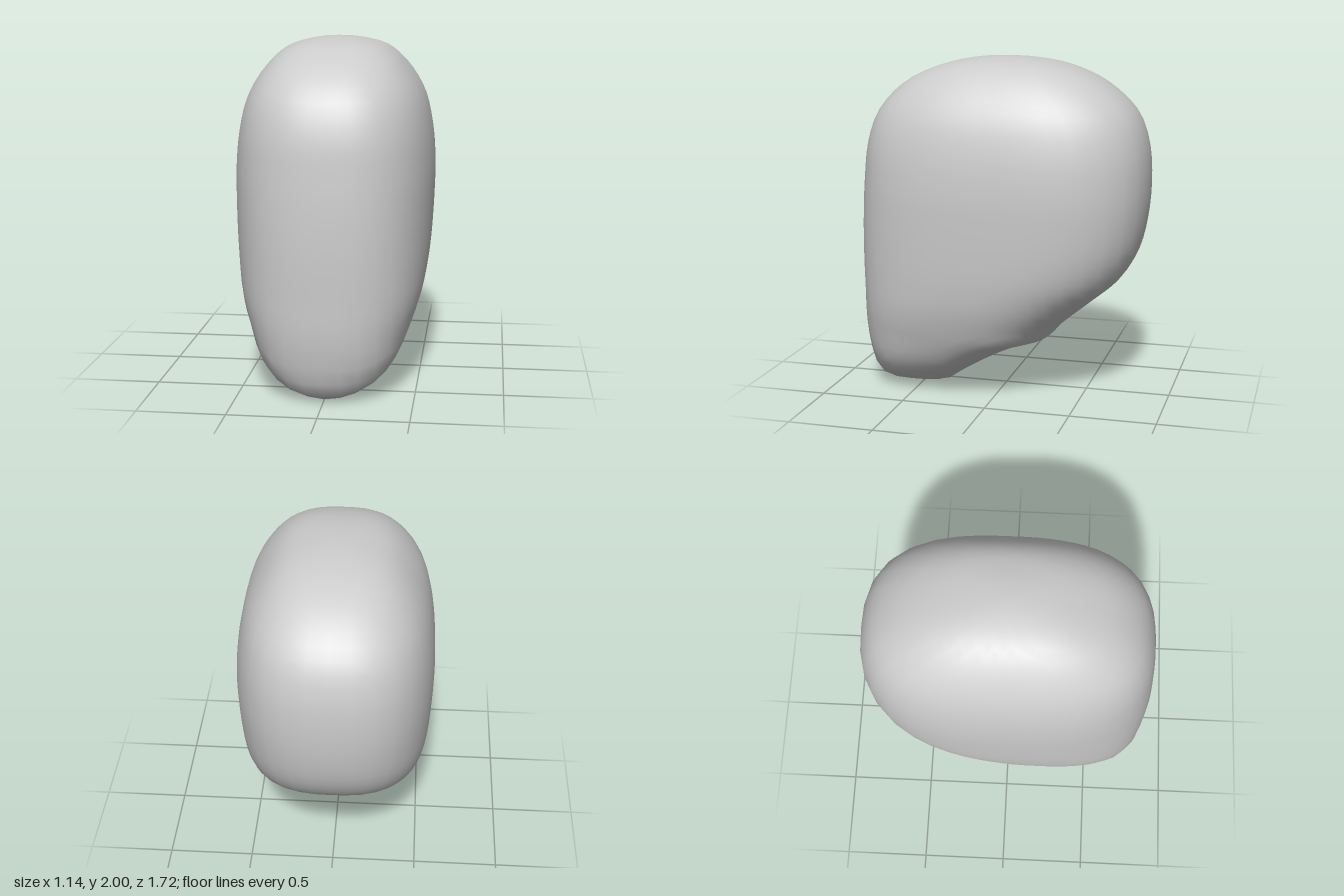
import * as THREE from 'three';

// Smooth lookup of a value by height through a few [y, value] points
function profile(points) {
  const curve = new THREE.CatmullRomCurve3(points.map(([y, v]) => new THREE.Vector3(y, v, 0)));
  const pts = curve.getPoints(160);
  return (y) => {
    let i = 1;
    while (i < pts.length - 1 && pts[i].x < y) i++;
    const a = pts[i - 1], b = pts[i];
    const t = THREE.MathUtils.clamp((y - a.x) / Math.max(b.x - a.x, 1e-6), 0, 1);
    return a.y + (b.y - a.y) * t;
  };
}

// Face line, back line and half width of the head at each height
const faceZ = profile([[0, 0.52], [0.025, 0.75], [0.3, 0.84], [0.6, 0.855], [0.95, 0.857], [1.28, 0.84],
  [1.5, 0.815], [1.68, 0.75], [1.84, 0.6], [1.94, 0.39], [1.985, 0.19], [2, 0]]);
const backZ = profile([[0, 0.52], [0.03, 0.31], [0.07, 0.27], [0.28, -0.1], [0.32, -0.2], [0.345, -0.29],
  [0.42, -0.36], [0.58, -0.55], [0.71, -0.7], [0.86, -0.79], [1.06, -0.84], [1.29, -0.857], [1.5, -0.84],
  [1.68, -0.775], [1.84, -0.61], [1.94, -0.4], [1.985, -0.2], [2, 0]]);
const halfWidth = profile([[0, 0], [0.015, 0.13], [0.06, 0.24], [0.18, 0.37], [0.48, 0.5], [0.7, 0.545],
  [1.1, 0.57], [1.28, 0.57], [1.49, 0.55], [1.68, 0.5], [1.84, 0.4], [1.94, 0.29], [1.985, 0.14], [2, 0]]);

// Each horizontal slice is a rounded-square oval
function inside(p) {
  if (p.y <= 0 || p.y >= 2) return false;
  const f = faceZ(p.y), b = backZ(p.y);
  const x = Math.abs(p.x) / Math.max(halfWidth(p.y), 1e-5);
  const z = Math.abs(p.z - (f + b) / 2) / Math.max((f - b) / 2, 1e-5);
  return x ** 2.7 + z ** 2.7 < 1;
}

// Point where a ray from the middle of the head meets the skin
const centre = new THREE.Vector3(0, 1, 0.1);
function skinPoint(dir) {
  let lo = 0, hi = 2;
  const p = new THREE.Vector3();
  for (let k = 0; k < 26; k++) {
    const r = (lo + hi) / 2;
    p.copy(centre).addScaledVector(dir, r);
    if (inside(p)) lo = r; else hi = r;
  }
  return p;
}

// Rings of skin running from the neck opening to the far pole
function headGeometry(segments = 48, rings = 40) {
  const neck = new THREE.Vector3(0, 0.205, -0.01);
  const axis = neck.clone().sub(centre).normalize();
  const positions = [], index = [];
  const rim = [];
  for (let j = 0; j < segments; j++) {
    const a = (j / segments) * Math.PI * 2;
    const s = Math.sin(a);
    const dir = new THREE.Vector3(0.28 * Math.cos(a), 0.135 * s, -0.28 * s).add(neck).sub(centre).normalize();
    const side = dir.clone().addScaledVector(axis, -dir.dot(axis)).normalize();
    rim.push({ start: dir.angleTo(axis), side });
  }
  for (let i = 0; i < rings; i++) {
    for (const { start, side } of rim) {
      const angle = start + (Math.PI - start) * (i / rings);
      const dir = axis.clone().multiplyScalar(Math.cos(angle)).addScaledVector(side, Math.sin(angle));
      positions.push(...skinPoint(dir).toArray());
    }
  }
  positions.push(...skinPoint(axis.clone().negate()).toArray());
  const apex = rings * segments;
  for (let i = 0; i < rings; i++) {
    for (let j = 0; j < segments; j++) {
      const k = (j + 1) % segments;
      const a = i * segments + j, b = i * segments + k;
      if (i === rings - 1) index.push(a, b, apex);
      else index.push(a, b, a + segments, b, b + segments, a + segments);
    }
  }
  const geometry = new THREE.BufferGeometry();
  geometry.setAttribute('position', new THREE.Float32BufferAttribute(positions, 3));
  geometry.setIndex(index);
  geometry.computeVertexNormals();
  return geometry;
}

export function createModel() {
  const group = new THREE.Group();
  group.name = 'blankHead';
  // Hollow head, open at the neck
  const head = new THREE.Mesh(headGeometry(),
    new THREE.MeshStandardMaterial({ color: 0xcccccc, side: THREE.DoubleSide }));
  head.name = 'headShell';
  group.add(head);
  return group;
}
